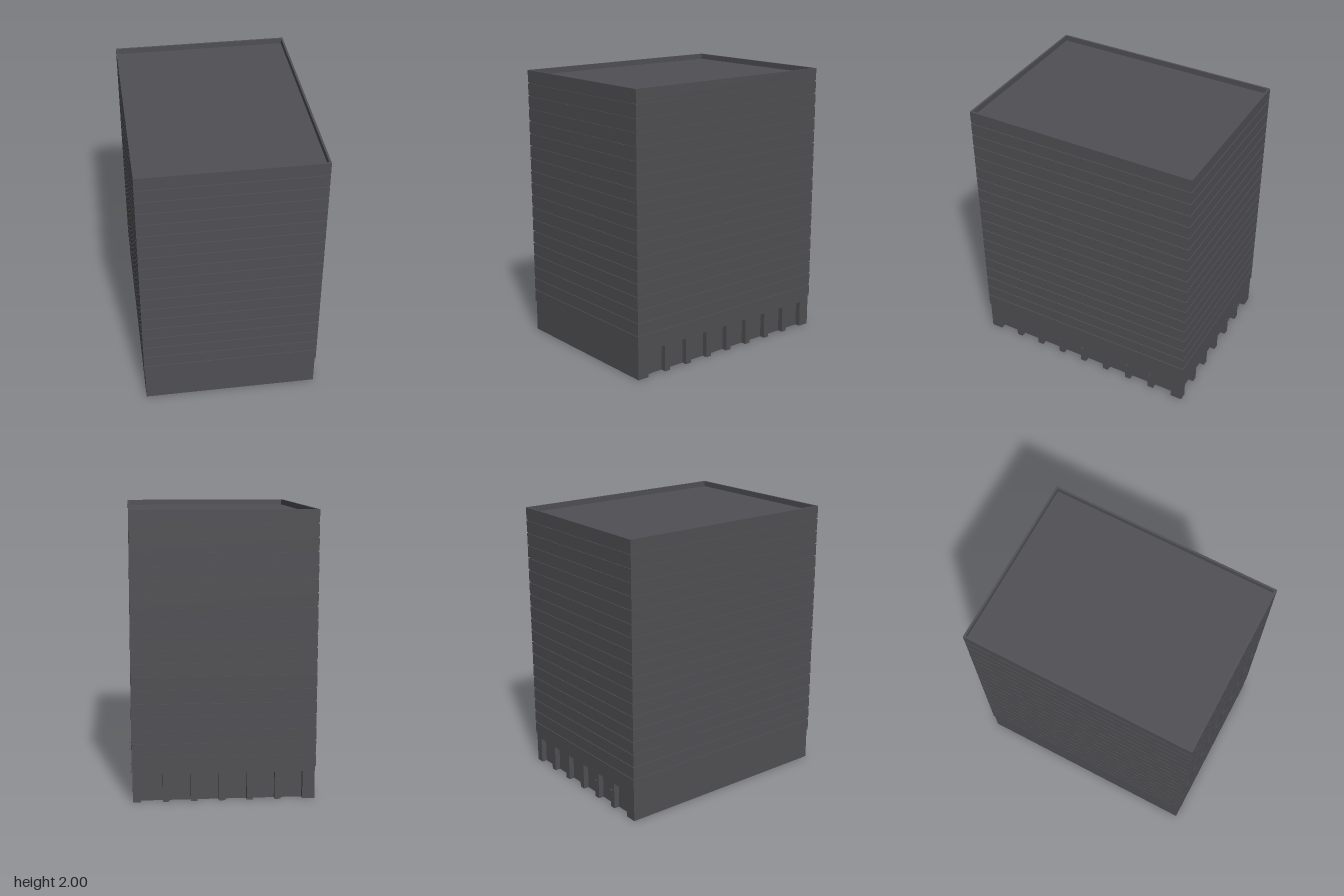
import * as THREE from 'three';

const CX = -0.0065, CZ = 0.006;      // centre of the building body
const HX = 0.6365, HZ = 0.844;       // half sizes of the upper body
const STEP = 0.006;                  // base and groove inset
const BASE = 0.23, TOP = 2, ROOF = 1.96, FLOORS = 19;
const PITCH = 0.1936, DOOR_W = 0.15, DOOR_H = 0.195, RECESS = 0.04;

export function createModel() {
  const concrete = new THREE.MeshStandardMaterial({ color: 0x504f53, side: THREE.DoubleSide });
  concrete.name = 'dark concrete';
  const model = new THREE.Group();
  model.name = 'officeBlock';

  const add = (parent, name, geometry, x = 0, y = 0, z = 0) => {
    const mesh = new THREE.Mesh(geometry, concrete);
    mesh.name = name;
    mesh.position.set(x, y, z);
    parent.add(mesh);
    return mesh;
  };

  // Tower shell: an [inset, height] profile swept round the rectangular plan
  const profile = [[STEP, BASE], [0, BASE]];
  const floorH = (TOP - BASE) / FLOORS, g = 0.005;
  for (let i = 1; i < FLOORS; i++) {
    const y = BASE + i * floorH;
    profile.push([0, y - g], [STEP, y - g], [STEP, y + g], [0, y + g]);
  }
  profile.push([0, TOP], [0.014, TOP], [0.014, ROOF]);

  const corners = [[1, 1], [1, -1], [-1, -1], [-1, 1]];
  const point = ([sx, sz], [inset, y]) => [sx * (HX - inset), y, sz * (HZ - inset)];
  const pos = [];
  for (let p = 0; p < profile.length - 1; p++) {
    for (let c = 0; c < 4; c++) {
      const next = corners[(c + 1) % 4];
      const a = point(corners[c], profile[p]), b = point(next, profile[p]);
      const d = point(corners[c], profile[p + 1]), e = point(next, profile[p + 1]);
      pos.push(...a, ...b, ...e, ...a, ...e, ...d);
    }
  }
  const shell = new THREE.BufferGeometry();
  shell.setAttribute('position', new THREE.Float32BufferAttribute(pos, 3));
  shell.computeVertexNormals();
  add(model, 'towerShell', shell, CX, 0, CZ);

  // Sunken roof inside the parapet
  const roof = new THREE.PlaneGeometry(2 * (HX - 0.014), 2 * (HZ - 0.014)).rotateX(-Math.PI / 2);
  add(model, 'roof', roof, CX, ROOF, CZ);

  // Ground floor wall facing local +z, with recessed doorways and small wall lamps
  function groundWall(name, halfWidth, halfDepth, turn, doors = 0, shift = 0, lamps = []) {
    const wall = new THREE.Group();
    wall.name = name;
    wall.position.set(CX, 0, CZ);
    wall.rotation.y = turn;
    const w = halfWidth - STEP, z = halfDepth - STEP;
    const outline = new THREE.Shape();
    outline.moveTo(-w, 0);
    for (let i = 0; i < doors; i++) {
      const x = shift + (i - (doors - 1) / 2) * PITCH, h = DOOR_W / 2;
      outline.lineTo(x - h, 0).lineTo(x - h, DOOR_H).lineTo(x + h, DOOR_H).lineTo(x + h, 0);
      add(wall, 'doorPane', new THREE.PlaneGeometry(DOOR_W, DOOR_H), x, DOOR_H / 2, z - RECESS);
      for (const s of [-1, 1]) {
        const reveal = new THREE.PlaneGeometry(RECESS, DOOR_H).rotateY(-s * Math.PI / 2);
        add(wall, 'doorReveal', reveal, x + s * h, DOOR_H / 2, z - RECESS / 2);
      }
      const soffit = new THREE.PlaneGeometry(DOOR_W, RECESS).rotateX(Math.PI / 2);
      add(wall, 'doorSoffit', soffit, x, DOOR_H, z - RECESS / 2);
    }
    outline.lineTo(w, 0).lineTo(w, BASE).lineTo(-w, BASE);
    add(wall, 'wallFace', new THREE.ShapeGeometry(outline), 0, 0, z);
    for (const k of lamps) {
      add(wall, 'wallLamp', new THREE.BoxGeometry(0.008, 0.006, 0.018), shift + k * PITCH, 0.14, z + 0.009);
    }
    model.add(wall);
  }
  groundWall('frontWall', HX, HZ, 0);
  groundWall('rightWall', HZ, HX, Math.PI / 2, 8, 0, [-1, 0, 2, 3]);
  groundWall('backWall', HX, HZ, Math.PI, 6, -0.0145, [1, 2]);
  groundWall('leftWall', HZ, HX, -Math.PI / 2);

  return model;
}
